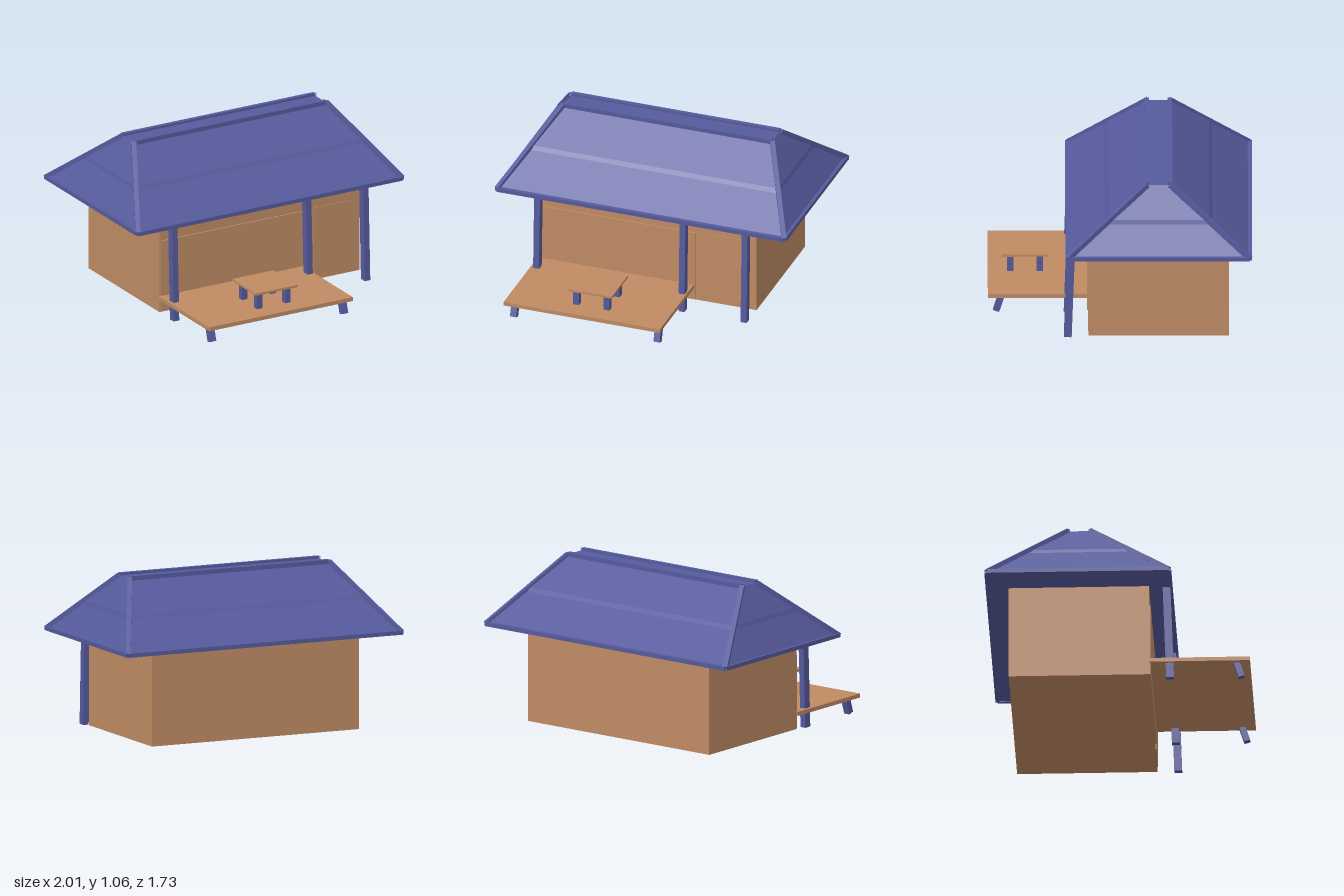
import * as THREE from 'three';

const wood = new THREE.MeshStandardMaterial({ color: 0xbf8b64 });
const blue = new THREE.MeshStandardMaterial({ color: 0x555a9c });

// Box given by its minimum and maximum corners
function block(name, mat, [x0, y0, z0], [x1, y1, z1]) {
  const mesh = new THREE.Mesh(new THREE.BoxGeometry(x1 - x0, y1 - y0, z1 - z0), mat);
  mesh.position.set((x0 + x1) / 2, (y0 + y1) / 2, (z0 + z1) / 2);
  mesh.name = name;
  return mesh;
}

// Square bar running between two points
function beam(name, from, to, w, d = w) {
  const a = new THREE.Vector3(...from), b = new THREE.Vector3(...to);
  const mesh = new THREE.Mesh(new THREE.BoxGeometry(w, d, a.distanceTo(b)), blue);
  mesh.position.copy(a).lerp(b, 0.5);
  mesh.lookAt(b);
  mesh.name = name;
  return mesh;
}

// Loft through rectangular rings of [halfWidth, halfDepth, y], closed at both ends
const corners = [[1, 1], [1, -1], [-1, -1], [-1, 1]];
function loftRings(rings) {
  const pos = [], idx = [];
  for (const [hx, hz, y] of rings) for (const [sx, sz] of corners) pos.push(sx * hx, y, sz * hz);
  for (let r = 0; r < rings.length - 1; r++) {
    for (let i = 0; i < 4; i++) {
      const a = r * 4 + i, b = r * 4 + (i + 1) % 4;
      idx.push(a, b, b + 4, a, b + 4, a + 4);
    }
  }
  const t = (rings.length - 1) * 4;
  idx.push(t, t + 1, t + 2, t, t + 2, t + 3, 0, 2, 1, 0, 3, 2);
  const g = new THREE.BufferGeometry();
  g.setAttribute('position', new THREE.Float32BufferAttribute(pos, 3));
  g.setIndex(idx);
  const flat = g.toNonIndexed();
  flat.computeVertexNormals();
  return flat;
}

export function createModel() {
  const model = new THREE.Group();
  model.name = 'house';
  const house = new THREE.Group();
  house.name = 'houseBody';

  // Walls with the shallow front panel and door
  house.add(block('walls', wood, [-0.735, 0.015, -0.447], [0.735, 0.635, 0.445]));
  house.add(block('frontPanel', wood, [-0.728, 0.02, 0.44], [0.322, 0.5, 0.455]));
  house.add(block('door', wood, [0.4, 0.02, 0.44], [0.672, 0.505, 0.45]));

  // Hipped roof, slightly kinked halfway up, with a narrow flat top
  const roof = new THREE.Group();
  roof.name = 'roof';
  const shell = new THREE.Mesh(loftRings([
    [0.968, 0.58, 0.632], [0.968, 0.58, 0.643], [0.845, 0.34, 0.825],
    [0.835, 0.32, 0.85], [0.705, 0.07, 1.038],
  ]), blue);
  shell.name = 'roofShell';
  roof.add(shell);

  // Edge beams along the eaves, hips and ridges
  const eave = ([sx, sz]) => [sx * 0.97, 0.64, sz * 0.58];
  const peak = ([sx, sz]) => [sx * 0.705, 1.04, sz * 0.073];
  corners.forEach((c, i) => {
    roof.add(beam('eaveBeam', eave(c), eave(corners[(i + 1) % 4]), 0.026));
    roof.add(beam('hipBeam', eave(c), peak(c), 0.03));
  });
  for (const s of [1, -1]) roof.add(beam('ridgeBeam', peak([-1, s]), peak([1, s]), 0.028));
  house.add(roof);

  // Leaning porch posts
  for (const x of [-0.7, 0.284, 0.704]) {
    house.add(beam('porchPost', [x, 0, 0.578], [x, 0.64, 0.555], 0.04, 0.05));
  }

  // Deck on two splayed front legs
  house.add(block('deck', wood, [-0.741, 0.1, 0.445], [0.315, 0.126, 1.085]));
  for (const x of [-0.69, 0.28]) {
    house.add(beam('deckLeg', [x, 0.004, 1.032], [x, 0.11, 0.998], 0.042, 0.04));
  }

  // Low table
  const table = new THREE.Group();
  table.name = 'table';
  table.position.set(-0.194, 0, 0.848);
  table.add(block('tableTop', wood, [-0.152, 0.235, -0.15], [0.152, 0.25, 0.15]));
  for (const [sx, sz] of corners) {
    const x = sx * 0.104, z = sz * 0.093;
    table.add(block('tableLeg', blue, [x - 0.02, 0.12, z - 0.02], [x + 0.02, 0.24, z + 0.02]));
  }
  house.add(table);

  // The whole house stands turned by a degree or two
  house.position.set(-0.005, 0, -0.245);
  house.rotation.y = 0.028;
  model.add(house);
  return model;
}
